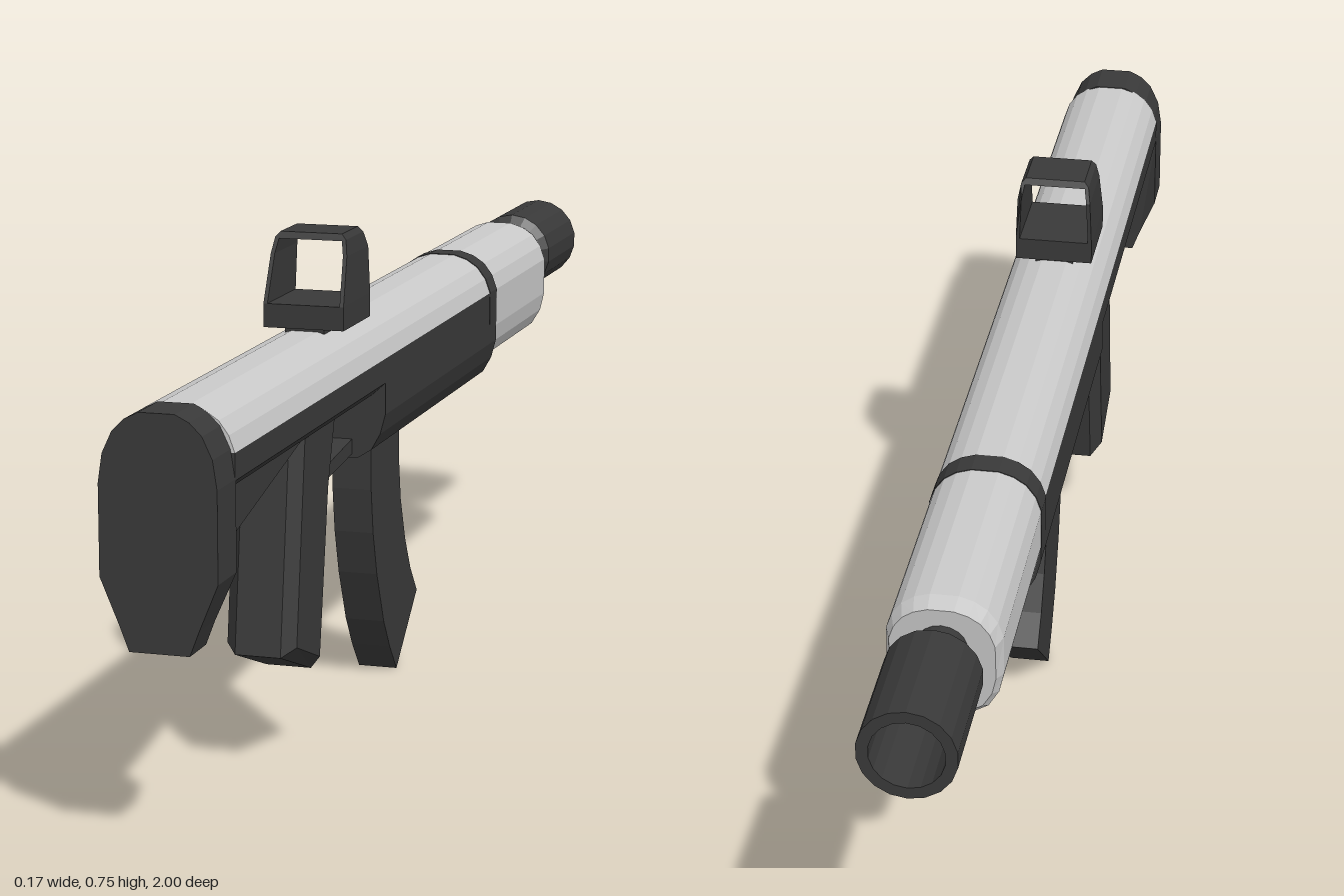
import * as THREE from 'three';

export function createModel() {
  const root = new THREE.Group();
  const mat = (name, color) => {
    const m = new THREE.MeshStandardMaterial({ color, flatShading: true, side: THREE.DoubleSide });
    m.name = name;
    return m;
  };
  const dark = mat('charcoal', 0x393939);
  const silver = mat('silver', 0xcacaca);

  const add = (name, geo, material) => {
    const mesh = new THREE.Mesh(geo, material);
    mesh.name = name;
    root.add(mesh);
    return mesh;
  };
  const toShape = pts => new THREE.Shape(pts.map(p => new THREE.Vector2(p[0], p[1])));
  // mirror the +x half of a cross-section, listed from top to bottom
  const mirrored = half => toShape([...half, ...half.slice().reverse().map(([x, y]) => [-x, y])]);
  // cross-section in x/y swept from z0 to z1
  const sweep = (shape, z0, z1) =>
    new THREE.ExtrudeGeometry(shape, { depth: z1 - z0, bevelEnabled: false }).translate(0, 0, z0);
  // side profile in z/y, given a width along x and an optional edge chamfer
  const slab = (pts, width, chamfer = 0) =>
    new THREE.ExtrudeGeometry(toShape(pts), {
      depth: width - 2 * chamfer, bevelEnabled: chamfer > 0, bevelSegments: 1,
      bevelSize: chamfer, bevelThickness: chamfer, bevelOffset: -chamfer,
    }).translate(0, 0, chamfer - width / 2).rotateY(-Math.PI / 2);
  const reshape = (geo, rule) => {
    const p = geo.attributes.position;
    const v = new THREE.Vector3();
    for (let i = 0; i < p.count; i++) {
      rule(v.fromBufferAttribute(p, i));
      p.setXYZ(i, v.x, v.y, v.z);
    }
    geo.computeVertexNormals();
    return geo;
  };

  // Receiver: silver rounded top over a dark lower shell
  const top = [[0.02, 0.606], [0.042, 0.599], [0.06, 0.587], [0.074, 0.568], [0.082, 0.545]];
  const belly = [[0.082, 0.46], [0.074, 0.43], [0.06, 0.405], [0.038, 0.391]];
  add('upperReceiver', sweep(mirrored(top), -0.35, 0.93), silver);
  add('rearFrame', sweep(mirrored([[0.082, 0.545], [0.082, 0.508], [0.06, 0.488]]), 0.25, 0.93), dark);
  add('foreFrame', sweep(mirrored([[0.082, 0.545], ...belly]), -0.35, 0.25), dark);
  add('frontBand', sweep(mirrored([...top.map(([x, y]) => [x * 1.01, y + 0.001]), ...belly]), -0.392, -0.35), dark);
  const panel = new THREE.BoxGeometry(0.07, 0.004, 0.34);
  add('undersidePanel', panel.translate(0, 0.39, -0.18), silver);

  // Handguard with a tapered, raked nose
  const guard = mirrored([...top, [0.082, 0.485], [0.075, 0.455], [0.06, 0.43], [0.035, 0.415]]);
  add('handguard', sweep(guard, -0.72, -0.392), silver);
  add('handguardNose', reshape(sweep(guard, -0.75, -0.72), v => {
    if (v.z > -0.73) return;
    v.x *= 0.9;
    v.y = 0.53 + (v.y - 0.53) * 0.92;
    v.z += (0.6 - v.y) * 0.1;
  }), silver);

  // Hollow muzzle on a narrow neck
  const muzzle = [[0.036, 0.71], [0.036, 0.782], [0.069, 0.807], [0.069, 1], [0.052, 1], [0.052, 0.86], [0, 0.86]];
  add('muzzle', new THREE.LatheGeometry(muzzle.map(p => new THREE.Vector2(...p)), 18)
    .rotateX(-Math.PI / 2).translate(0, 0.538, 0), dark);

  // Stock: butt pad and sloping brace
  add('buttPad', reshape(sweep(mirrored([
    [0.025, 0.607], [0.045, 0.597], [0.062, 0.58], [0.076, 0.55], [0.082, 0.51],
    [0.082, 0.385], [0.055, 0.32], [0.042, 0.286],
  ]), 0.927, 1), v => { if (v.z < 0.95 && v.y < 0.38) v.z += 0.01; }), dark);
  add('stockBrace', slab([[0.94, 0.388], [0.94, 0.5], [0.54, 0.5], [0.56, 0.475]], 0.11, 0.012), dark);

  // Grip, trigger and guard
  add('grip', slab([[0.385, 0.5], [0.42, 0.385], [0.467, 0.124], [0.606, 0.176], [0.56, 0.5]], 0.104, 0.018), dark);
  add('triggerGuard', slab([[0.425, 0.38], [0.425, 0.4], [0.25, 0.42], [0.24, 0.398]], 0.06), dark);
  add('trigger', slab([
    [0.355, 0.5], [0.355, 0.46], [0.342, 0.435], [0.315, 0.42], [0.328, 0.45], [0.328, 0.5],
  ], 0.025), dark);

  // Curved magazine
  add('magazine', slab([
    [0.155, 0.42], [0.155, 0.32], [0.145, 0.25], [0.125, 0.18], [0.088, 0.095], [0.055, 0.045], [0.018, 0],
    [-0.096, 0.1], [-0.06, 0.145], [-0.03, 0.2], [-0.005, 0.27], [0.004, 0.33], [0.004, 0.42],
  ], 0.062), dark);

  // Open sight frame, raked at the rear
  const frame = mirrored([[0.047, 0.746], [0.054, 0.738], [0.058, 0.715], [0.061, 0.645], [0.061, 0.61]]);
  frame.holes.push(new THREE.Path([
    [-0.055, 0.645], [0.055, 0.645], [0.052, 0.715], [0.048, 0.736], [-0.048, 0.736], [-0.052, 0.715],
  ].map(p => new THREE.Vector2(...p))));
  add('sightFrame', reshape(sweep(frame, 0.258, 0.39), v => {
    if (v.z > 0.3) v.z -= Math.max(0, v.y - 0.645) * 0.38;
    else v.z += Math.max(0, v.y - 0.715) * 0.5;
  }), dark);
  add('sightMount', new THREE.BoxGeometry(0.06, 0.016, 0.12).translate(0, 0.605, 0.325), dark);

  return root;
}
